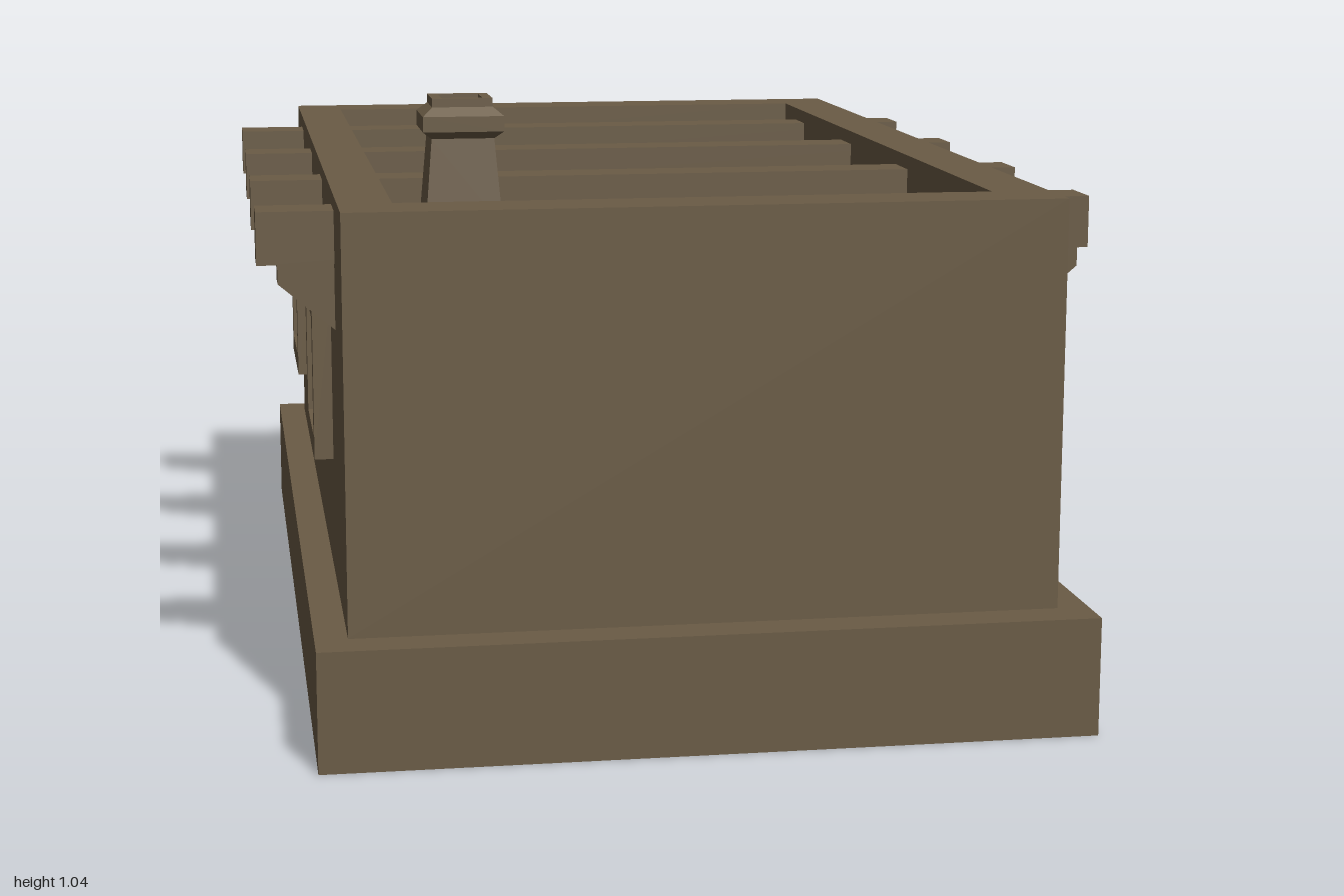
import * as THREE from 'three';

const stone = new THREE.MeshStandardMaterial({ color: 0x6a5b45, flatShading: true, side: THREE.DoubleSide });
stone.name = 'sandstone';

// main dimensions
const BASE = { x0: -0.645, x1: 0.665, z: 1, top: 0.205 };
const WALL = { x0: -0.59, x1: 0.61, z: 0.93, top: 0.905 };
const ROOF = { x0: -0.5, x1: 0.51, z: 0.82, y: 0.83 };
const DOOR = { z0: 0.2, z1: 0.68, inner: 0.49 };
const ARCH = [[0.2, 0.595], [0.265, 0.68], [0.44, 0.735], [0.605, 0.68], [0.68, 0.595]]; // z, y

function add(parent, name, geometry) {
  const mesh = new THREE.Mesh(geometry, stone);
  mesh.name = name;
  parent.add(mesh);
  return mesh;
}

// skin between successive rows of points
function loft(rows) {
  const pos = [];
  for (let r = 0; r < rows.length - 1; r++) {
    const a = rows[r], b = rows[r + 1];
    for (let i = 0; i < a.length - 1; i++) {
      pos.push(...a[i], ...a[i + 1], ...b[i + 1], ...a[i], ...b[i + 1], ...b[i]);
    }
  }
  const g = new THREE.BufferGeometry();
  g.setAttribute('position', new THREE.Float32BufferAttribute(pos, 3));
  g.computeVertexNormals();
  return g;
}

// rectangle path: back, right and front sides, optionally closed along the left
function rect({ x0, x1, z }, y, closed) {
  const p = [[x1, y, -z], [x0, y, -z], [x0, y, z], [x1, y, z]];
  if (closed) p.push(p[0]);
  return p;
}

// framed window with a sunken pane, facing +z
function makeWindow(name, w, h, depth) {
  const group = new THREE.Group();
  group.name = name;
  const b = 0.036;
  const box = (T, x, y) => new T([[-x, -y], [x, -y], [x, y], [-x, y]].map(p => new THREE.Vector2(...p)));
  const shape = box(THREE.Shape, w / 2, h / 2);
  shape.holes.push(box(THREE.Path, w / 2 - b, h / 2 - b));
  add(group, 'windowFrame', new THREE.ExtrudeGeometry(shape, { depth, bevelEnabled: false }));
  add(group, 'windowPane', new THREE.PlaneGeometry(w - 2 * b, h - 2 * b)).position.z = depth * 0.4;
  return group;
}

export function createModel() {
  const model = new THREE.Group();
  model.name = 'building';

  // three plain sides with the stepped plinth
  add(model, 'wallsAndPlinth', loft([
    rect(BASE, 0), rect(BASE, BASE.top), rect(WALL, BASE.top), rect(WALL, WALL.top),
  ]));

  // plinth on the door side, in two pieces
  for (const [from, to, inFrom, inTo] of [
    [BASE.z, DOOR.z1, WALL.z, DOOR.z1],
    [DOOR.z0, -BASE.z, DOOR.z0, -WALL.z],
  ]) {
    add(model, 'doorSidePlinth', loft([
      [[BASE.x1, 0, from], [BASE.x1, 0, to]],
      [[BASE.x1, BASE.top, from], [BASE.x1, BASE.top, to]],
      [[WALL.x1, BASE.top, inFrom], [WALL.x1, BASE.top, inTo]],
    ]));
  }

  // door wall with an arched notch
  const outline = [
    [WALL.z, BASE.top], [WALL.z, WALL.top], [-WALL.z, WALL.top], [-WALL.z, BASE.top],
    [DOOR.z0, BASE.top], ...ARCH, [DOOR.z1, BASE.top],
  ].map(([z, y]) => new THREE.Vector2(-z, y));
  const doorWall = new THREE.ShapeGeometry(new THREE.Shape(outline));
  doorWall.rotateY(Math.PI / 2).translate(WALL.x1, 0, 0);
  add(model, 'doorWall', doorWall);

  // inner sides of the doorway
  const edge = [
    [BASE.x1, 0, DOOR.z0], [BASE.x1, BASE.top, DOOR.z0], [WALL.x1, BASE.top, DOOR.z0],
    ...ARCH.map(([z, y]) => [WALL.x1, y, z]),
    [WALL.x1, BASE.top, DOOR.z1], [BASE.x1, BASE.top, DOOR.z1], [BASE.x1, 0, DOOR.z1],
  ];
  add(model, 'doorReveal', loft([edge, edge.map(([, y, z]) => [DOOR.inner, y, z])]));

  // parapet and sunken roof
  add(model, 'parapet', loft([
    rect(WALL, WALL.top, true), rect(ROOF, WALL.top, true), rect(ROOF, ROOF.y, true),
  ]));
  const roof = new THREE.PlaneGeometry(ROOF.x1 - ROOF.x0, 2 * ROOF.z).rotateX(-Math.PI / 2);
  add(model, 'roof', roof).position.set((ROOF.x0 + ROOF.x1) / 2, ROOF.y, 0);

  // roof beams with a brace under each end
  const brace = new THREE.Shape([[0, 0.675], [0.095, 0.755], [0.095, 0.79], [0, 0.79]]
    .map(p => new THREE.Vector2(...p)));
  const braceGeometry = new THREE.ExtrudeGeometry(brace, { depth: 0.064, bevelEnabled: false });
  braceGeometry.translate(0, 0, -0.032);
  for (const z of [-0.67, -0.23, 0.222, 0.66]) {
    add(model, 'roofBeam', new THREE.BoxGeometry(1.44, 0.09, 0.088)).position.set(0, 0.834, z);
    add(model, 'leftBrace', braceGeometry).position.set(WALL.x1, 0, z);
    const right = add(model, 'rightBrace', braceGeometry);
    right.position.set(WALL.x0, 0, z);
    right.rotation.y = Math.PI;
  }

  // windows: one beside the door, two opposite, one at the back
  for (const [name, x, z, turn, depth] of [
    ['leftWindow', WALL.x1, -0.208, Math.PI / 2, 0.033],
    ['rightRearWindow', WALL.x0, -0.42, -Math.PI / 2, 0.033],
    ['rightFrontWindow', WALL.x0, 0.373, -Math.PI / 2, 0.033],
    ['backWindow', 0.092, -WALL.z, Math.PI, 0.022],
  ]) {
    const win = makeWindow(name, name === 'backWindow' ? 0.285 : 0.302, 0.285, depth);
    win.position.set(x, 0.557, z);
    win.rotation.y = turn;
    model.add(win);
  }

  // square chimney with a collar and an open top
  const profile = [
    [0, 0.822], [0.068, 0.822], [0.055, 0.975], [0.071, 0.988], [0.071, 1.015],
    [0.053, 1.03], [0.053, 1.045], [0.036, 1.045], [0.036, 0.99], [0, 0.99],
  ].map(([r, y]) => new THREE.Vector2(r * Math.SQRT2, y));
  add(model, 'chimney', new THREE.LatheGeometry(profile, 4, Math.PI / 4)).position.set(-0.353, 0, 0.446);

  return model;
}
